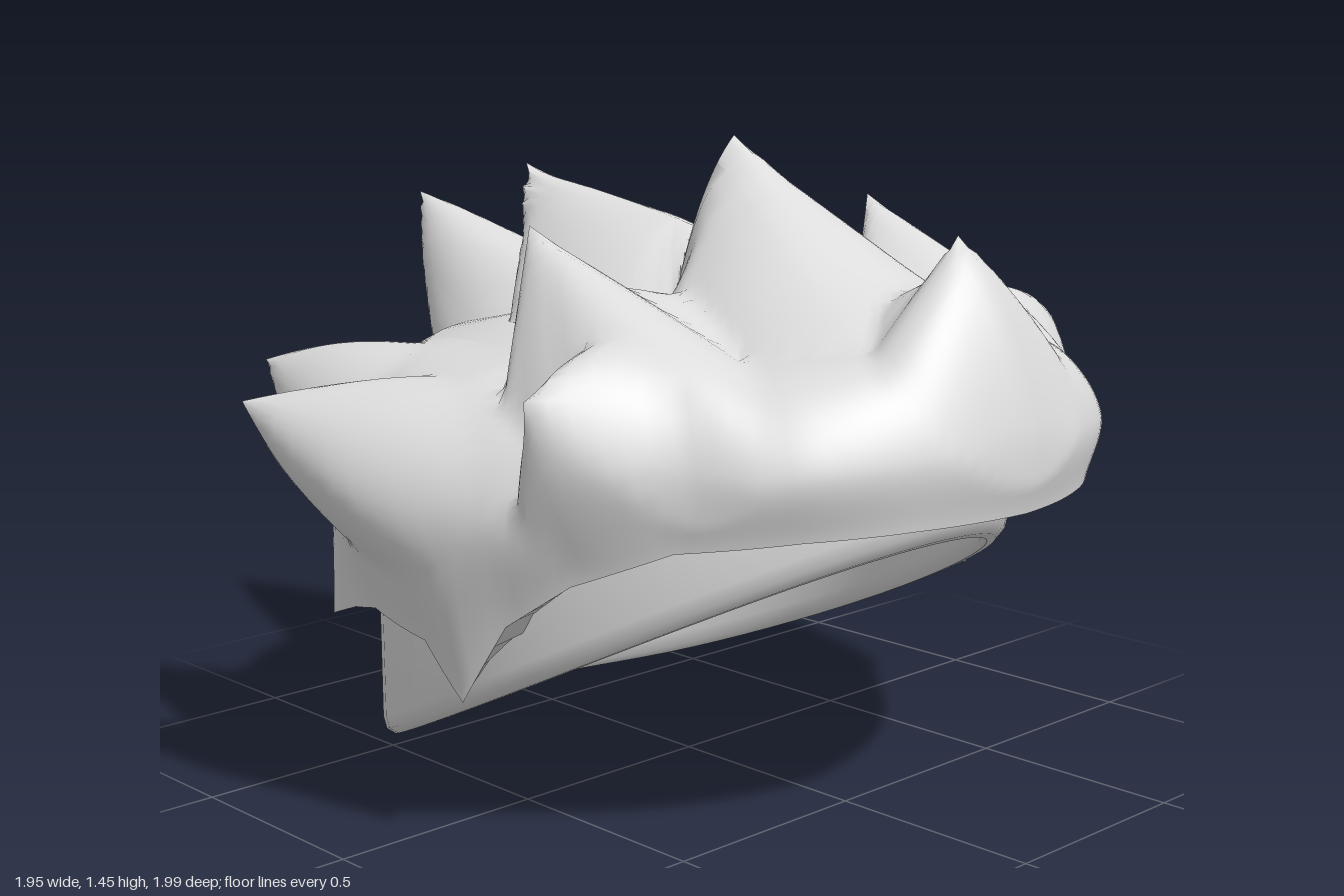
import * as THREE from 'three';
import { toCreasedNormals } from 'three/addons/utils/BufferGeometryUtils.js';

const material = new THREE.MeshStandardMaterial({ color: 0xdcdcdc });
material.name = 'light grey';
const V = (x, y, z) => new THREE.Vector3(x, y, z);

// Skin a list of closed rings, keeping sharp edges
function loft(name, rings, crease) {
  const n = rings[0].length, index = [];
  const pts = rings.flat();
  const tri = (a, b, c) => {
    const area = pts[b].clone().sub(pts[a]).cross(pts[c].clone().sub(pts[a])).length();
    if (area > 1e-9) index.push(a, b, c);
  };
  for (let i = 0; i < rings.length - 1; i++) {
    for (let j = 0; j < n; j++) {
      const a = i * n + j, b = i * n + (j + 1) % n;
      tri(a, b, b + n);
      tri(a, b + n, a + n);
    }
  }
  const geo = new THREE.BufferGeometry().setFromPoints(pts);
  geo.setIndex(index);
  const mesh = new THREE.Mesh(toCreasedNormals(geo, crease), material);
  mesh.name = name;
  return mesh;
}

// Hollow cap: round wall, slanted open rim, deep cavity
function makeCap() {
  const cut = z => {
    const v = 0.255 + 0.48 * z + 0.08 * z * z;
    return 0.5 * (v + Math.sqrt(v * v + 0.0025)) - 0.01;
  };
  const rim = lift => z => cut(z) + lift;
  const level = y => () => y;
  const profile = [
    [0, level(0.97)], [0.6, level(0.95)], [0.64, level(0.9)], [0.645, rim(0.17)],
    [0.655, rim(0.05)], [0.665, rim(0.015)], [0.68, rim(0)],
    [0.7, rim(0)], [0.72, rim(0.018)], [0.727, rim(0.05)],
    [0.727, level(0.84)], [0.715, level(0.89)], [0.68, level(0.945)], [0.6, level(0.99)],
    [0.4, level(1.035)], [0.2, level(1.055)], [0, level(1.06)],
  ];
  const rings = profile.map(([r, height]) => Array.from({ length: 64 }, (_, j) => {
    const a = j / 64 * Math.PI * 2, z = r * Math.cos(a) + 0.013;
    return V(r * Math.sin(a), height(z), z);
  }));
  return loft('cap', rings, 0.75);
}

// Hair outline: angle from the front, then radius and height
// of the lower edge, the bulge and the shoulder
const outline = [
  [0, 0.97, 0.74, 1.0, 0.88, 0.92, 1.06],
  [16, 0.94, 0.735, 0.96, 0.88, 0.86, 1.04],
  [30, 0.91, 0.725, 0.94, 0.86, 0.83, 1.01],
  [46, 0.87, 0.7, 0.89, 0.83, 0.79, 0.97],
  [60, 0.85, 0.62, 0.88, 0.78, 0.76, 0.93],
  [70, 0.84, 0.52, 0.89, 0.75, 0.75, 0.93],
  [78, 0.83, 0.34, 0.89, 0.73, 0.75, 0.94],
  [86, 0.82, 0.45, 0.9, 0.74, 0.75, 0.95],
  [100, 0.81, 0.475, 0.88, 0.76, 0.74, 0.95],
  [108, 0.81, 0.45, 0.84, 0.75, 0.73, 0.95],
  [118, 0.83, 0.4, 0.81, 0.74, 0.72, 0.95],
  [122, 0.8, 0.52, 0.8, 0.75, 0.71, 0.95],
  [132, 0.77, 0.51, 0.77, 0.76, 0.68, 0.95],
  [136, 0.74, 0.62, 0.75, 0.8, 0.66, 0.95],
  [144, 0.66, 0.8, 0.66, 0.88, 0.55, 0.97],
  [160, 0.66, 0.8, 0.66, 0.9, 0.55, 0.97],
  [172, 0.7, 0.62, 0.725, 0.84, 0.64, 0.96],
  [180, 0.7, 0.6, 0.735, 0.81, 0.67, 0.95],
];

function outlineAt(deg) {
  const a = Math.min(deg, 360 - deg);
  const i = Math.max(1, outline.findIndex(k => k[0] >= a));
  const lo = outline[i - 1], hi = outline[i];
  const t = (a - lo[0]) / (hi[0] - lo[0]);
  return lo.map((v, k) => v + (hi[k] - v) * t);
}

// Tufts: where the ramp starts, the point that is pulled, the tip,
// half width, and how soon the tuft ends behind the tip
const centreTufts = [
  { root: [0, 0.8, 0.99], pull: [0, 1.08, 0.89], tip: [0, 1.285, 0.78], width: 0.27, back: 0.11 },
  { root: [0, 1.08, 0.8], pull: [0, 1.14, 0.28], tip: [0, 1.425, 0.18], width: 0.4, back: 0.12 },
  { root: [0, 1.14, 0.36], pull: [0, 1.08, -0.24], tip: [0, 1.34, -0.55], width: 0.34, back: 0.12 },
  { root: [0, 1.06, -0.2], pull: [0, 0.96, -0.64], tip: [0, 1.26, -1], width: 0.25, back: 0.2 },
];
const sideTufts = [
  { root: [0.56, 0.82, 0.74], pull: [0.5, 1.02, 0.26], tip: [0.53, 1.29, 0.07], width: 0.23, back: 0.13 },
  { root: [0.7, 0.72, 0.62], pull: [0.74, 0.88, 0.48], tip: [0.83, 0.99, 0.41], width: 0.19, back: 0.1 },
  { root: [0.9, 0.72, 0.24], pull: [0.84, 0.83, -0.08], tip: [0.975, 0.92, -0.35], width: 0.22, back: 0.12 },
  { root: [0.82, 0.72, -0.16], pull: [0.62, 0.86, -0.44], tip: [0.67, 0.93, -0.72], width: 0.21, back: 0.14 },
];
const flip = ([x, y, z]) => [-x, y, z];
const tufts = [
  ...centreTufts, ...sideTufts,
  ...sideTufts.map(t => ({ ...t, root: flip(t.root), pull: flip(t.pull), tip: flip(t.tip) })),
];

// Hair: one smooth shell with every tuft drawn out of it
function makeHair() {
  const columns = 180, peak = V(0, 1.14, 0.1);
  const grid = Array.from({ length: columns }, (_, j) => {
    const deg = j * 360 / columns, a = THREE.MathUtils.degToRad(deg);
    const at = (r, y) => V(r * Math.sin(a), y, r * Math.cos(a));
    const [, r0, y0, r1, y1, r2, y2] = outlineAt(deg);
    const inner = at(Math.min(0.7, r0 - 0.02), Math.max(y0, 0.47));
    const shoulder = at(r2, y2);
    const curve = new THREE.CatmullRomCurve3([
      at(r0, y0), at(r1, y1), shoulder, shoulder.clone().lerp(peak, 0.4), peak.clone(),
    ]);
    return [inner, ...curve.getPoints(52)];
  });
  const base = grid.flat();
  const moved = base.map(p => p.clone());
  for (const { root, pull, tip, width, back } of tufts) {
    const target = V(...pull);
    const anchor = base.reduce((best, p) =>
      p.distanceToSquared(target) < best.distanceToSquared(target) ? p : best);
    const flow = anchor.clone().sub(V(...root));
    const reach = flow.length();
    flow.normalize();
    const shift = V(...tip).sub(anchor);
    base.forEach((p, i) => {
      const d = p.clone().sub(anchor);
      const along = d.dot(flow);
      const across = d.addScaledVector(flow, -along).length();
      const f = Math.hypot(along / (along < 0 ? reach : back), across / width);
      if (f < 1) moved[i].addScaledVector(shift, 1 - f);
    });
  }
  const rows = grid[0].length;
  const rings = Array.from({ length: rows }, (_, i) =>
    Array.from({ length: columns }, (_, j) => moved[j * rows + i]));
  return loft('hair', rings, 1.0);
}

export function createModel() {
  const model = new THREE.Group();
  model.name = 'spikyHairpiece';
  model.add(makeCap(), makeHair());
  return model;
}
